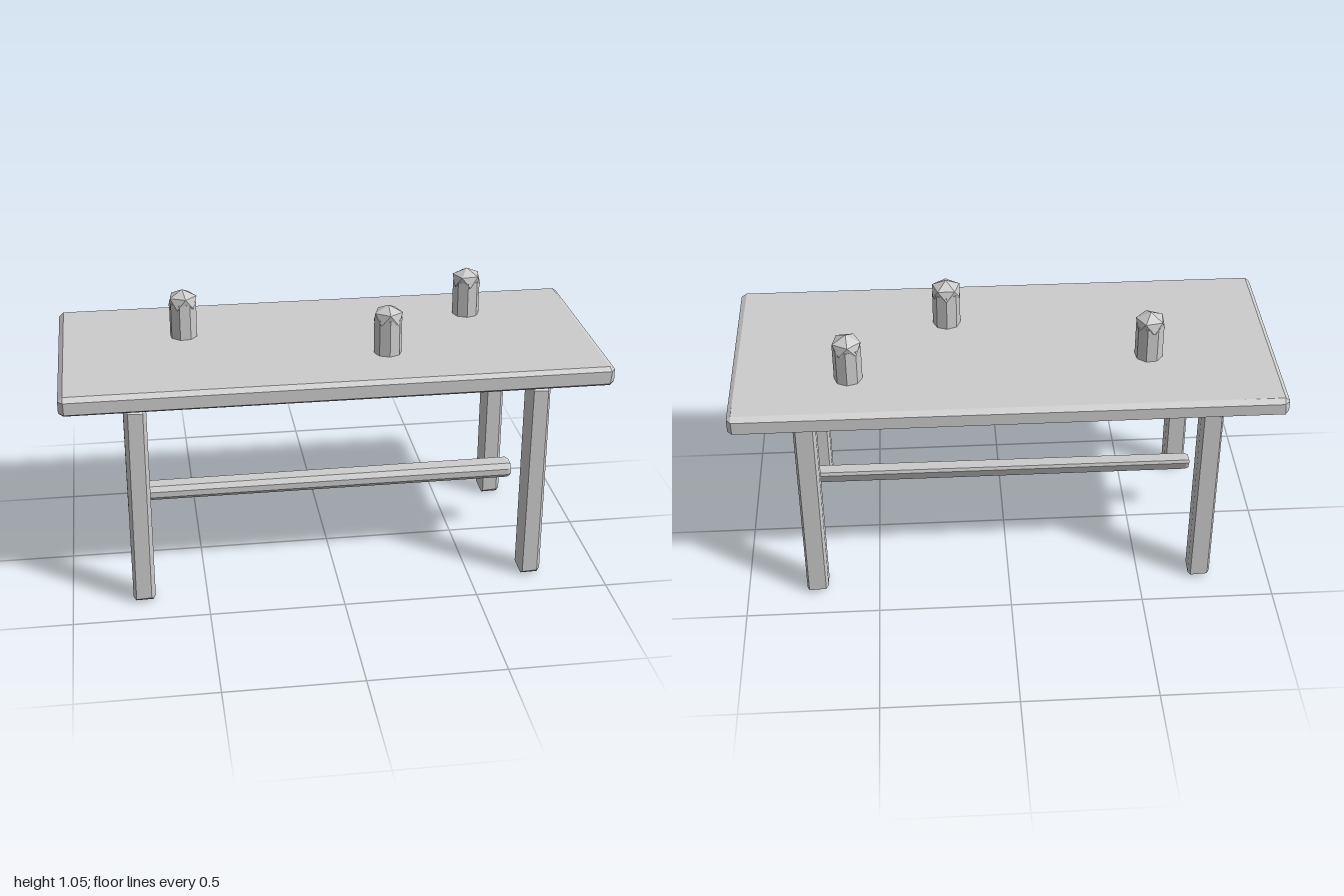
import * as THREE from 'three';
import { ConvexGeometry } from 'three/addons/geometries/ConvexGeometry.js';

// Box with bevelled corners; each corner gives one point per face, nudged for a hand-hewn look
function hewnBox(w, h, d, bx, by, bz, wobble, seed) {
  let s = seed;
  const nudge = () => {
    s = (s * 16807) % 2147483647;
    return (s / 2147483647 - 0.5) * 2 * wobble;
  };
  const points = [];
  for (const i of [-1, 1]) for (const j of [-1, 1]) for (const k of [-1, 1]) {
    const x = w / 2, y = h / 2, z = d / 2;
    points.push(
      new THREE.Vector3(i * x, j * (y - by + nudge()), k * (z - bz + nudge())),
      new THREE.Vector3(i * (x - bx + nudge()), j * y, k * (z - bz + nudge())),
      new THREE.Vector3(i * (x - bx + nudge()), j * (y - by + nudge()), k * z)
    );
  }
  return new ConvexGeometry(points);
}

export function createModel() {
  const model = new THREE.Group();
  model.name = 'table';
  const grey = new THREE.MeshStandardMaterial({ color: 0xcccccc, flatShading: true });
  grey.name = 'plain grey';

  function add(name, geometry, x, y, z, parent = model) {
    const mesh = new THREE.Mesh(geometry, grey);
    mesh.name = name;
    mesh.position.set(x, y, z);
    parent.add(mesh);
    return mesh;
  }

  // Table top
  add('tableTop', hewnBox(2, 0.074, 0.85, 0.018, 0.014, 0.02, 0.003, 11), 0, 0.828, -0.002);

  // Four matching legs
  const legGeometry = hewnBox(0.082, 0.79, 0.095, 0.012, 0.016, 0.02, 0.005, 7);
  for (const [side, x] of [['Left', 0.735], ['Right', -0.735]]) {
    add('front' + side + 'Leg', legGeometry, x, 0.397, 0.336);
    add('back' + side + 'Leg', legGeometry, x, 0.397, -0.337);
  }

  // Stretcher: uneven eight-sided bar, [z, y] section, slightly lower on its right end
  const section = [
    [0.036, 0.28], [0.022, 0.3], [-0.03, 0.303], [-0.034, 0.289],
    [-0.017, 0.247], [0.003, 0.24], [0.022, 0.24], [0.036, 0.256]
  ];
  const bar = [];
  for (const [x, scale, drop] of [[-0.735, 0.75, 0.003], [-0.722, 0.95, 0.003], [0.722, 1, 0], [0.735, 0.8, 0]]) {
    for (const [z, y] of section) {
      bar.push(new THREE.Vector3(x, 0.27 + (y - 0.27) * scale - drop, z * scale));
    }
  }
  add('stretcher', new ConvexGeometry(bar), 0, 0, 0);

  // Mugs with a faceted crown of foam
  const bodyGeometry = new THREE.CylinderGeometry(0.052, 0.052, 0.14, 8);
  const foamGeometry = new THREE.IcosahedronGeometry(0.06, 0);
  foamGeometry.rotateZ(Math.atan(2 / (1 + Math.sqrt(5)))); // one corner straight up
  foamGeometry.scale(1, 0.76, 1);
  [[-0.53, -0.107, 0.5], [0.207, 0.157, 1.57], [0.575, -0.19, 2.3]].forEach(([x, z, turn], i) => {
    const mug = new THREE.Group();
    mug.name = 'mug' + (i + 1);
    mug.position.set(x, 0.862, z);
    mug.rotation.y = turn;
    add('mugBody', bodyGeometry, 0, 0.07, 0, mug);
    add('mugFoam', foamGeometry, 0, 0.143, 0, mug);
    model.add(mug);
  });

  return model;
}
